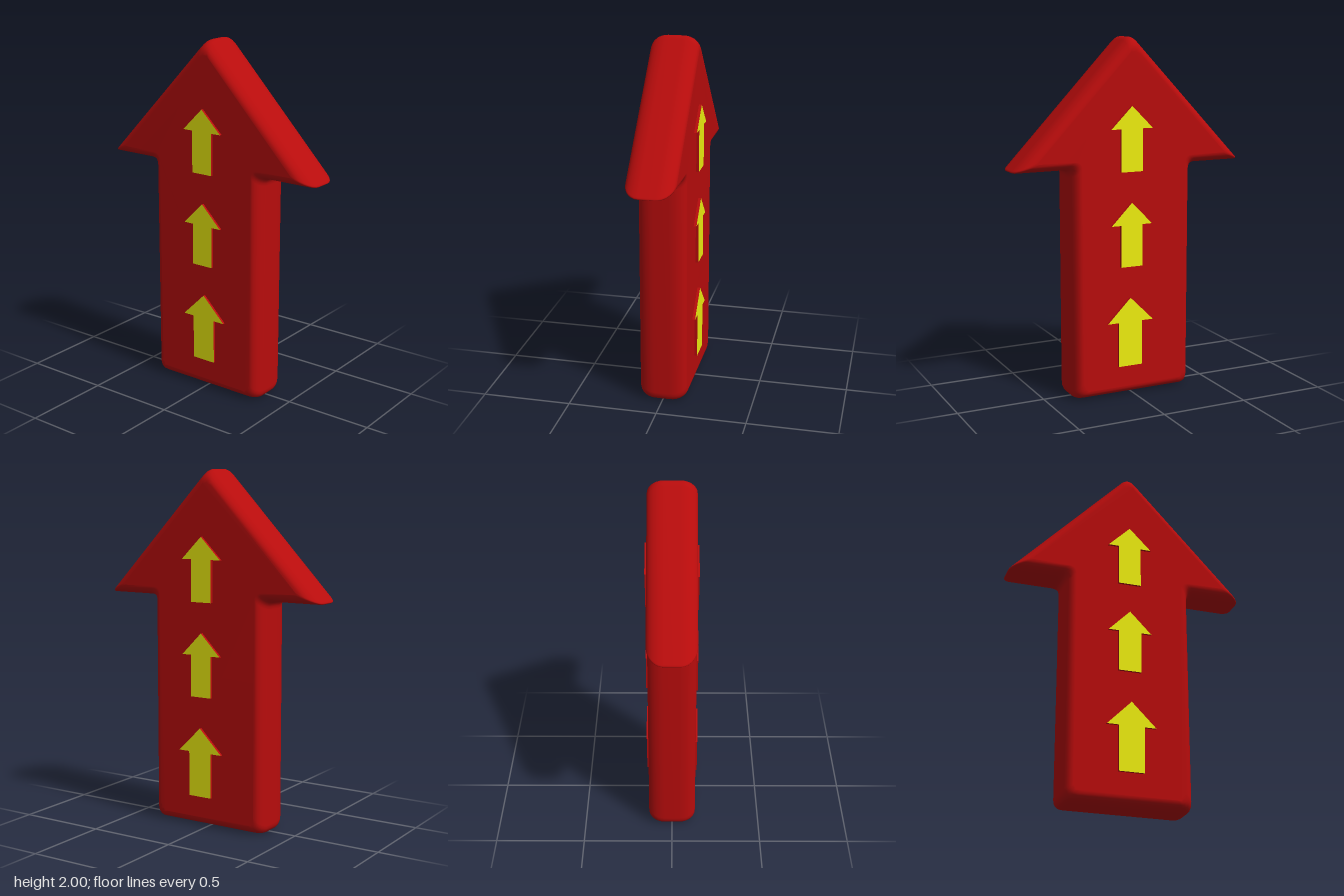
import * as THREE from 'three';

const red = new THREE.MeshStandardMaterial({ color: 0xb80c0c });
const yellow = new THREE.MeshStandardMaterial({ color: 0xeeee0f });

// Arrow outline, counter-clockwise: corner x, corner y, fillet length
const OUTLINE = [
  [-0.36, 0.0, 0.05], [0.36, 0.0, 0.05],
  [0.36, 1.295, 0.045], [0.69, 1.295, 0.02],
  [0, 2.018, 0.05],
  [-0.69, 1.295, 0.02], [-0.36, 1.295, 0.045],
];
const FILLET_STEPS = 5;

// Outline moved inwards by d with true mitres, then filleted at each corner
function insetOutline(d) {
  const n = OUTLINE.length;
  const pts = OUTLINE.map(([x, y]) => new THREE.Vector2(x, y));
  const corners = pts.map((p, i) => {
    const a = p.clone().sub(pts[(i + n - 1) % n]).normalize();
    const b = pts[(i + 1) % n].clone().sub(p).normalize();
    const na = new THREE.Vector2(-a.y, a.x);
    const nb = new THREE.Vector2(-b.y, b.x);
    const k = d / (1 + na.dot(nb));
    return p.clone().addScaledVector(na.add(nb), k);
  });
  const ring = [];
  corners.forEach((c, i) => {
    const toward = (q) => q.clone().sub(c).setLength(OUTLINE[i][2]).add(c);
    const curve = new THREE.QuadraticBezierCurve(
      toward(corners[(i + n - 1) % n]), c, toward(corners[(i + 1) % n]));
    ring.push(...curve.getPoints(FILLET_STEPS));
  });
  return ring;
}

// Cushioned body: stacked outlines from back to front, closed by two caps
function bodyGeometry() {
  const steps = 7, bevelInset = 0.05, bevelDepth = 0.09, half = 0.0425;
  const positions = [], index = [], rings = [];
  for (let s = -steps; s <= steps; s++) {
    const a = (s / steps) * Math.PI / 2;
    const ring = insetOutline(bevelInset * (1 - Math.cos(a)));
    const levels = s === 0 ? [-half, half] : [Math.sign(s) * half + bevelDepth * Math.sin(a)];
    for (const z of levels) {
      rings.push(ring);
      ring.forEach((p) => positions.push(p.x, p.y, z));
    }
  }
  const m = rings[0].length;
  for (let k = 0; k < rings.length - 1; k++) {
    for (let j = 0; j < m; j++) {
      const a = k * m + j, b = k * m + (j + 1) % m;
      index.push(a, b, b + m, a, b + m, a + m);
    }
  }
  const front = (rings.length - 1) * m;
  for (const [a, b, c] of THREE.ShapeUtils.triangulateShape(rings[0], [])) {
    index.push(front + a, front + b, front + c, a, c, b);
  }
  const geometry = new THREE.BufferGeometry();
  geometry.setAttribute('position', new THREE.Float32BufferAttribute(positions, 3));
  geometry.setIndex(index);
  geometry.computeVertexNormals();
  return geometry;
}

// Small raised arrow with a yellow face and red edges
function marker({ x, tip, wing, base, head, shaft }) {
  const shape = new THREE.Shape([
    [-shaft, base], [shaft, base], [shaft, wing], [head, wing],
    [0, tip], [-head, wing], [-shaft, wing],
  ].map(([px, py]) => new THREE.Vector2(x + px, py)));
  const geometry = new THREE.ExtrudeGeometry(shape, { depth: 0.03, bevelEnabled: false });
  return new THREE.Mesh(geometry, [yellow, red]);
}

export function createModel() {
  const model = new THREE.Group();
  model.name = 'arrowSign';

  const body = new THREE.Mesh(bodyGeometry(), red);
  body.name = 'arrowBody';
  model.add(body);

  const markers = [
    { name: 'lower', x: 0.004, tip: 0.568, wing: 0.43, base: 0.175, head: 0.139, shaft: 0.072 },
    { name: 'middle', x: -0.004, tip: 1.104, wing: 0.98, base: 0.745, head: 0.123, shaft: 0.065 },
    { name: 'upper', x: -0.005, tip: 1.634, wing: 1.51, base: 1.275, head: 0.125, shaft: 0.065 },
  ];
  for (const m of markers) {
    const front = marker(m);
    front.name = m.name + 'FrontMarker';
    front.position.z = 0.116;
    const back = marker(m);
    back.name = m.name + 'BackMarker';
    back.position.set(0.027, 0, -0.148);
    model.add(front, back);
  }
  return model;
}
